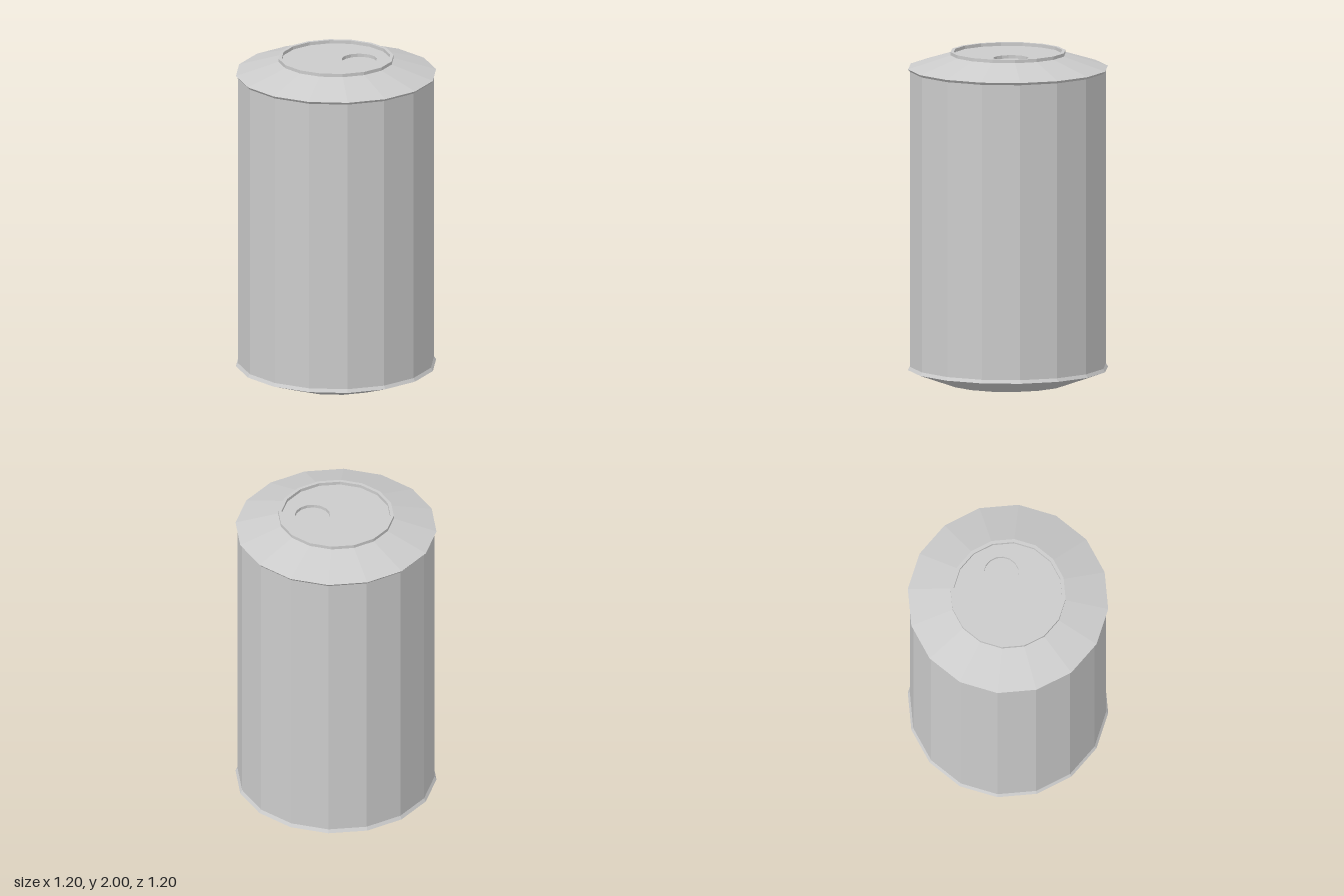
import * as THREE from 'three';

const SIDES = 16;

export function createModel() {
  const group = new THREE.Group();
  const material = new THREE.MeshStandardMaterial({ color: 0xcccccc, flatShading: true });

  const add = (name, geometry) => {
    const mesh = new THREE.Mesh(geometry, material);
    mesh.name = name;
    group.add(mesh);
    return mesh;
  };
  const lathe = (points) =>
    new THREE.LatheGeometry(points.map(([r, y]) => new THREE.Vector2(r, y)), SIDES);

  // Tapered base with a small lip
  add('base', lathe([[0, 0.005], [0.345, 0.005], [0.36, 0], [0.6, 0.087], [0.588, 0.107]]));

  // Straight faceted wall
  add('wall', lathe([[0.588, 0.107], [0.588, 1.885]]));

  // Sloping shoulder
  add('shoulder', lathe([[0.588, 1.885], [0.6, 1.9], [0.345, 1.98]]));

  // Raised rim around the lid
  add('rim', lathe([[0.345, 1.98], [0.345, 2], [0.325, 2], [0.325, 1.98]]));

  // Lid with a round opening
  const lidTop = 1.98, depth = 0.02, holeX = 0.14, holeRadius = 0.105;
  const polygon = (radius, cx) => Array.from({ length: SIDES }, (_, i) => {
    const a = (i / SIDES) * Math.PI * 2;
    return new THREE.Vector2(cx + radius * Math.cos(a), radius * Math.sin(a));
  });
  const lidShape = new THREE.Shape(polygon(0.325, 0));
  lidShape.holes.push(new THREE.Path(polygon(holeRadius, holeX)));
  const lid = new THREE.ExtrudeGeometry(lidShape, { depth, bevelEnabled: false });
  add('lid', lid.rotateX(-Math.PI / 2).translate(0, lidTop - depth, 0));

  // Floor of the opening
  const floor = new THREE.CircleGeometry(holeRadius, SIDES).rotateX(-Math.PI / 2);
  add('openingFloor', floor.translate(holeX, lidTop - depth, 0));

  return group;
}
